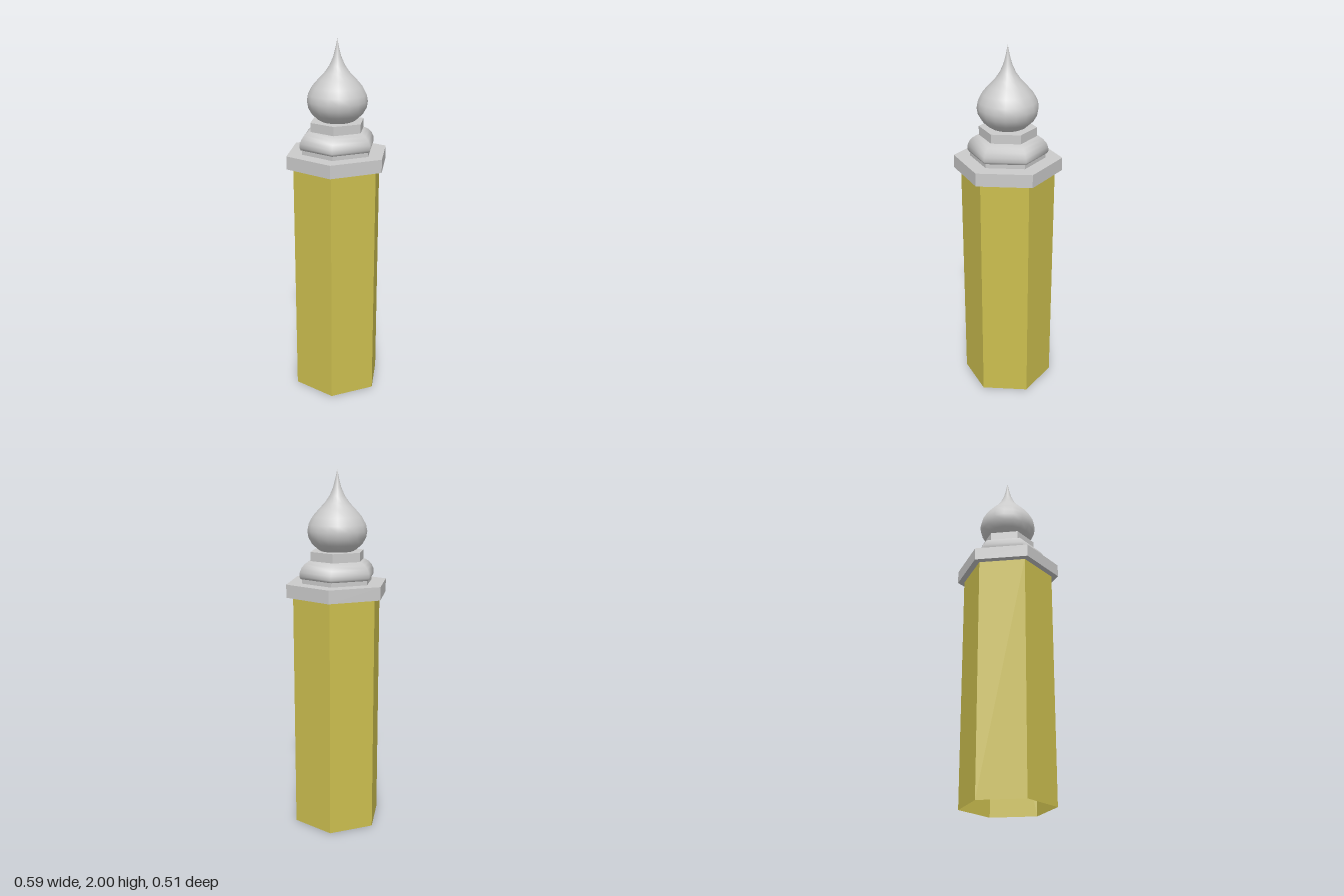
import * as THREE from 'three';

const grey = new THREE.MeshStandardMaterial({ color: 0xcccccc });
const greyFlat = new THREE.MeshStandardMaterial({ color: 0xcccccc, flatShading: true });
const ochre = new THREE.MeshStandardMaterial({ color: 0xccbf4f, flatShading: true, side: THREE.DoubleSide });

export function createModel() {
  const group = new THREE.Group();

  const add = (name, geometry, material) => {
    const mesh = new THREE.Mesh(geometry, material);
    mesh.name = name;
    group.add(mesh);
  };

  // Hexagonal prism with corners on the x axis
  const hexPrism = (radius, y0, y1, open = false) =>
    new THREE.CylinderGeometry(radius, radius, y1 - y0, 6, 1, open, Math.PI / 2)
      .translate(0, (y0 + y1) / 2, 0);

  // Turned profile of [radius, height] points, bottom to top
  const turned = (profile, sides, start = 0) =>
    new THREE.LatheGeometry(profile.map(([r, y]) => new THREE.Vector2(r, y)), sides, start);

  // Hollow shaft, open underneath
  add('shaft', hexPrism(0.256, 0, 1.33, true), ochre);

  // Overhanging slab and the stepped base of the dome
  add('capSlab', hexPrism(0.294, 1.325, 1.397), greyFlat);
  add('mouldingFoot', hexPrism(0.205, 1.39, 1.425), greyFlat);
  add('moulding', turned([
    [0.18, 1.415], [0.212, 1.422], [0.219, 1.435], [0.217, 1.458],
    [0.206, 1.482], [0.188, 1.502], [0.165, 1.515], [0.13, 1.522],
  ], 6, Math.PI / 2), grey);
  add('domeCollar', hexPrism(0.155, 1.515, 1.566), greyFlat);

  // Onion dome tapering into a spike
  add('onionDome', turned([
    [0.07, 1.555], [0.105, 1.575], [0.138, 1.605], [0.158, 1.64], [0.164, 1.675],
    [0.157, 1.71], [0.135, 1.75], [0.1, 1.79], [0.068, 1.823], [0.042, 1.86],
    [0.022, 1.905], [0.009, 1.955], [0, 2],
  ], 18), grey);

  return group;
}
